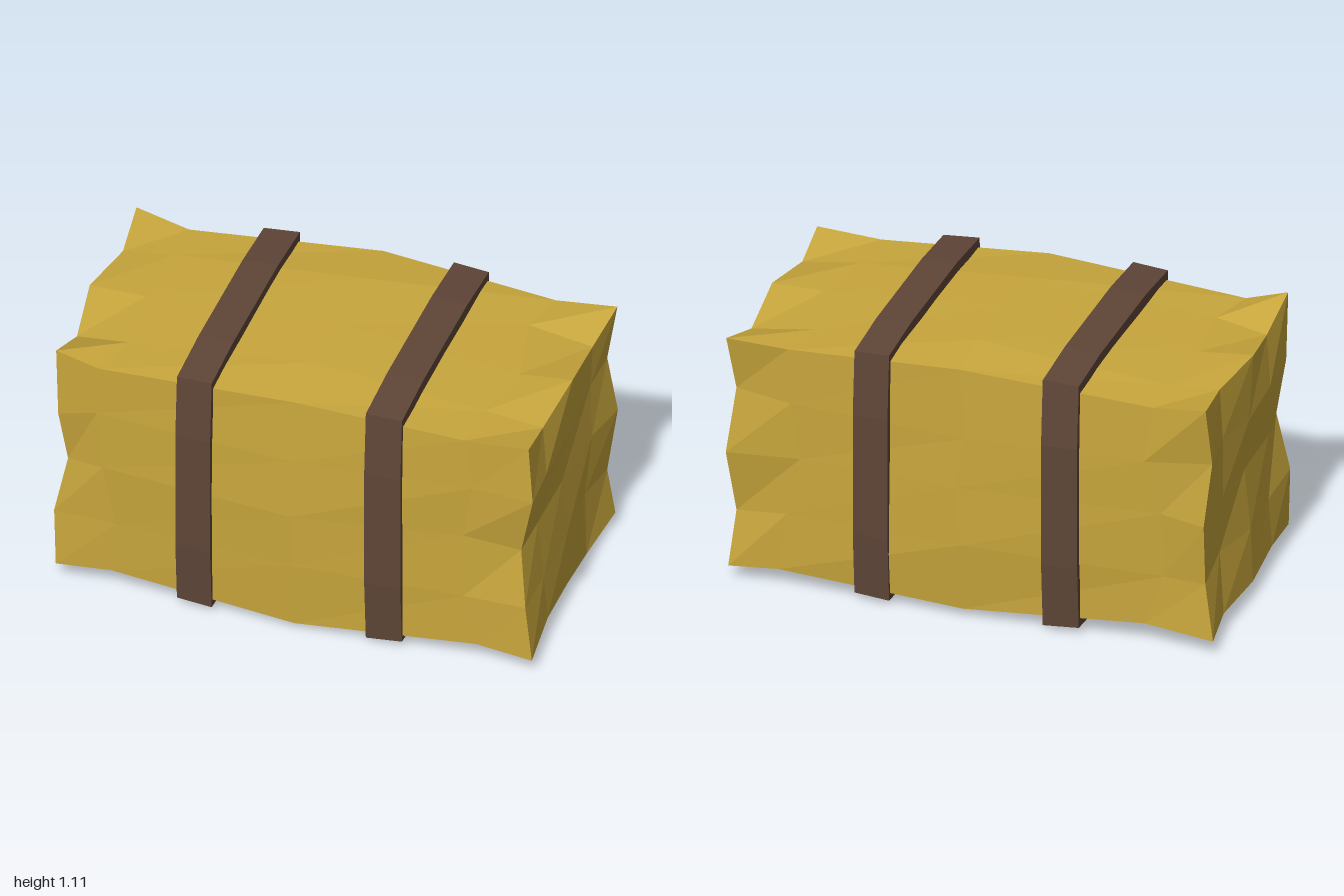
import * as THREE from 'three';

const straw = new THREE.MeshStandardMaterial({ color: 0xc8a63c });
straw.name = 'straw';
const leather = new THREE.MeshStandardMaterial({ color: 0x5f4637 });
leather.name = 'brown strap';

// Small repeatable noise in -1..1 for a lattice point
const noise = (i, j, k, s) => {
  const v = Math.sin(i * 12.99 + j * 78.23 + k * 37.72 + s * 4.71) * 43758.55;
  return (v - Math.floor(v)) * 2 - 1;
};

const flat = (g) => {
  const f = g.toNonIndexed();
  f.computeVertexNormals();
  return f;
};

// Lattice stations along each axis
const X = [-0.96, -0.75, 0.03, 0.75, 0.98];
const Y = [0.06, 0.31, 0.56, 0.8, 1.045];
const Z = [-0.51, -0.29, 0.01, 0.29, 0.51];

// Ragged outline and relief of each end: x is listed from bottom row to top row, back to front
const ends = {
  0: {
    top: [1.06, 1.03, 1.05, 1.0, 1.08], bottom: [0.065, 0.08, 0.07, 0.085, 0.07],
    back: [-0.525, -0.5, -0.52, -0.49, -0.525], front: [0.51, 0.5, 0.48, 0.51, 0.505],
    x: [[-1.0, -0.97, -0.98, -0.96, -0.95], [-0.96, -0.94, -0.97, -0.95, -0.96],
      [-0.96, -0.95, -0.95, -0.94, -0.91], [-0.985, -0.95, -0.97, -0.96, -0.94],
      [-0.97, -0.94, -0.98, -0.94, -0.95]],
  },
  4: {
    top: [1.045, 0.99, 1.04, 1.0, 1.045], bottom: [0.06, 0.01, 0.07, 0.09, 0.06],
    back: [-0.52, -0.48, -0.52, -0.48, -0.515], front: [0.52, 0.51, 0.47, 0.51, 0.5],
    x: [[0.99, 0.95, 0.97, 0.98, 1.0], [0.97, 0.95, 0.97, 0.97, 0.97],
      [1.0, 0.97, 0.96, 0.95, 0.94], [0.97, 0.96, 0.985, 0.99, 1.0],
      [1.0, 0.97, 0.99, 0.965, 0.98]],
  },
};

function latticePoint(i, j, k) {
  const end = ends[i];
  if (end) {
    const y = j === 4 ? end.top[k] : j === 0 ? end.bottom[k] : Y[j] + 0.025 * noise(i, j, k, 1);
    const z = k === 4 ? end.front[j] : k === 0 ? end.back[j] : Z[k] + 0.025 * noise(i, j, k, 2);
    return [end.x[j][k], y, z];
  }
  // Sides swell towards the middle and pinch near the ends
  const middle = i === 2;
  let y = Y[j] + 0.02 * noise(i, j, k, 1);
  let z = Z[k] + 0.02 * noise(i, j, k, 2);
  const swellY = middle && k % 4 ? 0.015 : 0;
  const swellZ = middle && j % 4 ? 0.015 : 0;
  const wobble = 0.008 * noise(i, j, k, 3);
  if (j === 4) y = (middle ? 1.08 : 1.03) + swellY + wobble;
  if (j === 0) y = (middle ? 0.035 : 0.08) - swellY - wobble;
  if (k === 4) z = (middle ? 0.535 : 0.5) + swellZ + wobble;
  if (k === 0) z = -(middle ? 0.535 : 0.5) - swellZ - wobble;
  const x = X[i] + (middle ? 0.02 : 0.05) * noise(i, j, k, 4);
  return [x, y, z];
}

function makeBale() {
  const g = new THREE.BoxGeometry(4, 4, 4, 4, 4, 4);
  const p = g.attributes.position;
  for (let n = 0; n < p.count; n++) {
    const [i, j, k] = [p.getX(n), p.getY(n), p.getZ(n)].map((v) => Math.round(v + 2));
    p.setXYZ(n, ...latticePoint(i, j, k));
  }
  const mesh = new THREE.Mesh(flat(g), straw);
  mesh.name = 'strawBale';
  return mesh;
}

// Band outline with slightly bowed sides, measured from the bale's centre
const bandPoints = (inset) => {
  const a = 0.55 - inset, b = 0.53 - inset;
  return [[b, -b], [a, -0.26], [a, 0.26], [b, b], [0.27, a], [-0.27, a],
    [-b, b], [-a, 0.26], [-a, -0.26], [-b, -b], [-0.27, -a], [0.27, -a]]
    .map(([z, y]) => new THREE.Vector2(z, y));
};

function makeStrap(name, x, width) {
  const shape = new THREE.Shape(bandPoints(0));
  shape.holes.push(new THREE.Path(bandPoints(0.05)));
  const g = new THREE.ExtrudeGeometry(shape, { depth: width, bevelEnabled: false });
  g.translate(0, 0, -width / 2);
  g.rotateY(-Math.PI / 2);
  // The band is a little wider on the side nearer the middle of the bale
  const p = g.attributes.position;
  for (let n = 0; n < p.count; n++) {
    const inner = p.getX(n) * x < 0;
    const s = inner ? 1.005 : 0.99;
    p.setXYZ(n, p.getX(n), p.getY(n) * s, p.getZ(n) * s);
  }
  g.computeVertexNormals();
  const mesh = new THREE.Mesh(g, leather);
  mesh.name = name;
  mesh.position.set(x, 0.557, 0);
  return mesh;
}

export function createModel() {
  const model = new THREE.Group();
  model.name = 'strappedStrawBale';
  model.add(makeBale(), makeStrap('rightStrap', -0.377, 0.145), makeStrap('leftStrap', 0.398, 0.145));
  return model;
}
